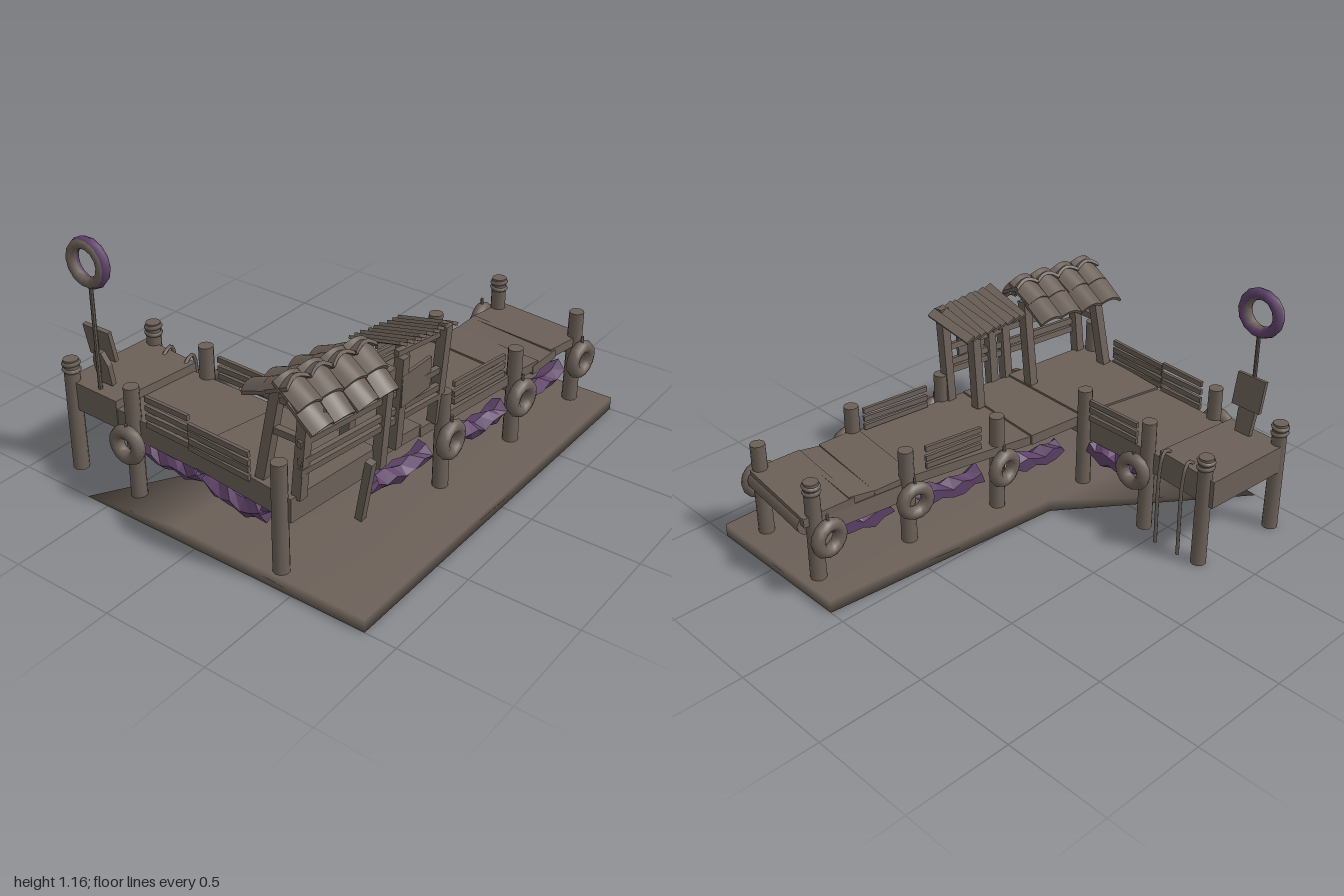
import * as THREE from 'three';
import { toCreasedNormals } from 'three/addons/utils/BufferGeometryUtils.js';

const wood = new THREE.MeshStandardMaterial({ color: 0x6b6058 });
wood.name = 'weathered wood';
const cloth = new THREE.MeshStandardMaterial({ color: 0x5e4268, side: THREE.DoubleSide });
cloth.name = 'purple cloth';
const UP = new THREE.Vector3(0, 1, 0);

export function createModel() {
  const model = new THREE.Group();
  model.name = 'lakesidePier';

  const add = (name, geo, mat = wood, parent = model) => {
    const m = new THREE.Mesh(geo, mat);
    m.name = name;
    parent.add(m);
    return m;
  };
  // Lay a mesh whose length runs along y between two points
  const span = (m, a, b) => {
    const d = b.clone().sub(a);
    m.position.copy(a).addScaledVector(d, 0.5);
    m.quaternion.setFromUnitVectors(UP, d.normalize());
    return m;
  };
  const V = (p) => new THREE.Vector3(...p);
  const pole = (name, p, q, r, sides = 10) => {
    const a = V(p), b = V(q);
    const g = toCreasedNormals(new THREE.CylinderGeometry(r * 0.93, r, a.distanceTo(b), sides), 0.9);
    return span(add(name, g), a, b);
  };
  const plank = (name, p, q, w, t) => {
    const a = V(p), b = V(q);
    return span(add(name, new THREE.BoxGeometry(w, a.distanceTo(b), t)), a, b);
  };

  // Shore slab, sloping down to a point at the front right
  const low = [[0.08, -1], [0.855, -1], [0.855, 1], [-0.62, 1], [-0.03, 0.2]];
  const high = [[0.08, -1], [0.855, -1], [0.855, 1], [-0.11, 1], [-0.03, 0.2]];
  const ground = new THREE.BufferGeometry();
  ground.setAttribute('position', new THREE.Float32BufferAttribute([
    ...low.flatMap(([x, z]) => [x, 0, z]), ...high.flatMap(([x, z]) => [x, 0.063, z])], 3));
  ground.setIndex([
    0, 1, 2, 0, 2, 4, 4, 2, 3,
    5, 7, 6, 5, 9, 7, 9, 8, 7,
    0, 5, 6, 0, 6, 1, 1, 6, 7, 1, 7, 2, 2, 7, 8, 2, 8, 3, 3, 8, 9, 3, 9, 4, 4, 9, 5, 4, 5, 0]);
  ground.computeVertexNormals();
  add('ground', ground);

  // Deck sections: outline in x, z, then bottom and top heights
  const deck = (pts, y0, y1) => {
    const shape = new THREE.Shape(pts.map(([x, z]) => new THREE.Vector2(x, -z)));
    const g = new THREE.ExtrudeGeometry(shape, { depth: y1 - y0, bevelEnabled: false });
    g.rotateX(-Math.PI / 2);
    g.translate(0, y0, 0);
    return add('deckSection', g);
  };
  deck([[-0.82, 0.39], [-0.49, 0.42], [-0.535, 0.87], [-0.845, 0.86]], 0.31, 0.445);
  deck([[-0.49, 0.43], [0.01, 0.44], [-0.075, 0.89], [-0.535, 0.865]], 0.30, 0.405);
  deck([[0.01, 0.44], [0.52, 0.46], [0.47, 0.95], [-0.075, 0.89]], 0.305, 0.415);
  deck([[0.04, 0.15], [0.56, 0.2], [0.52, 0.47], [0.01, 0.45]], 0.355, 0.405);
  deck([[0.18, -0.47], [0.645, -0.42], [0.565, 0.21], [0.05, 0.16]], 0.35, 0.395);
  // Overlapping, slightly tipped boards at the far end
  [[-0.51, 0.425, 0.375, -0.06, 0.2], [-0.655, 0.445, 0.37, 0.12, 0.17], [-0.835, 0.46, 0.375, -0.05, 0.25]]
    .forEach(([z, x, y, tip, depth]) => {
      const m = add('endBoard', new THREE.BoxGeometry(0.47, 0.045, depth));
      m.position.set(x, y, z);
      m.rotation.set(tip, -0.12, 0);
    });
  pole('endBeam', [0.27, 0.335, -0.95], [0.71, 0.335, -0.9], 0.05);
  pole('crossBeam', [0.18, 0.33, -0.47], [0.66, 0.33, -0.41], 0.035);
  plank('sideBeam', [0.2, 0.325, -0.5], [0.25, 0.325, -0.93], 0.04, 0.08);

  // Mooring posts: x, z, top height
  const posts = [[-0.765, 0.395, 0.55], [-0.815, 0.85, 0.55], [-0.415, 0.43, 0.56], [-0.43, 0.875, 0.56],
    [-0.02, 0.435, 0.56], [0.42, 0.955, 0.57], [0.25, -0.93, 0.55], [0.69, -0.89, 0.52],
    [0.19, -0.47, 0.53], [0.65, -0.405, 0.53], [0.115, 0, 0.54], [0.595, 0.09, 0.53]];
  posts.forEach(([x, z, h], i) => {
    pole('post', [x, 0, z], [x, h, z], 0.037);
    if (i < 2 || i === 6) {
      for (const y of [0.5, 0.53]) {
        const ring = add('postRope', new THREE.TorusGeometry(0.032, 0.011, 6, 12));
        ring.position.set(x, y, z);
        ring.rotation.set(Math.PI / 2, y > 0.51 ? 0.12 : -0.08, 0);
      }
    }
  });

  // Tyre fenders: x, y, z, turn about y
  const side = Math.PI / 2;
  [[-0.405, 0.32, 0.945, 0], [-0.39, 0.32, 0.36, 0], [0.17, 0.3, -0.915, side + 0.1],
    [0.745, 0.3, -0.86, side - 0.1], [0.13, 0.3, -0.475, side - 0.15], [0.7, 0.3, -0.395, side - 0.1],
    [0.05, 0.3, -0.015, side + 0.1], [0.635, 0.3, 0.08, side]].forEach(([x, y, z, turn]) => {
    const t = add('tyreFender', new THREE.TorusGeometry(0.063, 0.031, 8, 14));
    t.position.set(x, y, z);
    t.rotation.y = turn;
    pole('fenderRope', [x, y + 0.06, z], [x, 0.42, z], 0.008, 5);
  });

  // Railings of flat boards
  const railing = ([x0, z0], [x1, z1], heights) => heights.forEach((y, i) => {
    const d = (i % 2 ? 1 : -1) * 0.003;
    const m = add('railBoard', new THREE.BoxGeometry(Math.hypot(x1 - x0, z1 - z0), 0.026, 0.016));
    m.position.set((x0 + x1) / 2, y, (z0 + z1) / 2);
    m.rotation.set(0, -Math.atan2(z1 - z0, x1 - x0), d * 4);
  });
  railing([-0.34, 0.885], [-0.095, 0.895], [0.415, 0.455, 0.495, 0.54]);
  railing([-0.08, 0.91], [0.25, 0.93], [0.415, 0.45, 0.485, 0.52]);
  railing([-0.35, 0.425], [-0.06, 0.43], [0.43, 0.47, 0.51]);
  railing([0.62, -0.36], [0.575, -0.02], [0.37, 0.415, 0.455, 0.5]);
  railing([0.165, -0.38], [0.125, -0.09], [0.42, 0.46, 0.505]);

  // Sagging rolled cloth under the deck edges
  const swag = (p, q, sag, seed) => {
    const a = V(p), b = V(q);
    const mid = a.clone().lerp(b, 0.5);
    mid.y -= sag;
    const g = new THREE.TubeGeometry(new THREE.QuadraticBezierCurve3(a, mid, b), 6, 0.045, 5);
    const pos = g.attributes.position;
    for (let i = 0; i < pos.count; i++) {
      const k = Math.floor(i / 6), j = i % 6 % 5;
      pos.setY(i, pos.getY(i) + 0.014 * Math.sin(k * 2.3 + j * 1.9 + seed));
    }
    const flat = g.toNonIndexed();
    flat.computeVertexNormals();
    add('clothSwag', flat, cloth);
  };
  swag([-0.37, 0.27, 0.85], [-0.07, 0.265, 0.85], 0.03, 0);
  swag([-0.03, 0.27, 0.86], [0.29, 0.245, 0.88], 0.06, 1);
  swag([-0.32, 0.27, 0.455], [-0.06, 0.265, 0.455], 0.05, 2);
  swag([0.5, 0.25, 0.47], [0.55, 0.25, 0.14], 0.06, 3);
  swag([0.58, 0.25, -0.05], [0.62, 0.25, -0.35], 0.06, 4);
  swag([0.63, 0.25, -0.45], [0.65, 0.25, -0.81], 0.06, 5);
  swag([0.16, 0.25, -0.07], [0.22, 0.25, -0.38], 0.06, 6);
  swag([0.25, 0.25, -0.53], [0.3, 0.25, -0.82], 0.06, 7);
  swag([0.07, 0.25, 0.36], [0.14, 0.25, 0.08], 0.06, 8);

  // Shelter frame
  [[[0.28, 0.4, 0.89], [0.355, 0.82, 0.87]], [[0.47, 0.4, 0.9], [0.5, 0.84, 0.88]],
    [[0.38, 0.4, 0.48], [0.43, 0.84, 0.48]], [[0.53, 0.33, 0.46], [0.57, 0.8, 0.46]],
    [[0.41, 0.4, 0.16], [0.44, 0.8, 0.16]], [[0.57, 0.39, 0.12], [0.61, 0.86, 0.12]],
    [[0.55, 0.39, 0.38], [0.58, 0.82, 0.38]]]
    .forEach(([p, q]) => plank('shelterPost', p, q, 0.045, 0.045));
  for (const y of [0.53, 0.575, 0.655]) {
    plank('shelterRail', [0.49, y, 0.92], [0.595, y, 0.14], 0.022, 0.03);
  }
  plank('shelterCrossbar', [0.31, 0.65, 0.88], [0.49, 0.65, 0.88], 0.03, 0.03);
  plank('gableBar', [0.26, 0.79, 0.87], [0.57, 0.79, 0.87], 0.03, 0.03);
  plank('shelterPanel', [0.585, 0.595, 0.295], [0.59, 0.74, 0.295], 0.015, 0.205);
  plank('leaningBrace', [0.47, 0.07, 0.5], [0.55, 0.4, 0.54], 0.035, 0.035);

  // Gabled tile roof: two rows of arched tiles on each slope
  const roof = new THREE.Group();
  roof.name = 'tileRoof';
  roof.position.set(0.42, 0, 0.705);
  roof.rotation.y = -0.14;
  model.add(roof);
  const tileGeo = new THREE.BoxGeometry(0.155, 0.016, 0.12, 1, 1, 6);
  const tp = tileGeo.attributes.position;
  for (let i = 0; i < tp.count; i++) {
    tp.setY(i, tp.getY(i) + 0.03 * Math.cos(tp.getZ(i) * 25) - 0.015);
  }
  tileGeo.computeVertexNormals();
  for (let k = 0; k < 4; k++) {
    const z = (k - 1.5) * 0.12;
    [[-0.115, 0.82, 0.42], [0, 0.88, 0.46], [0.075, 0.875, -0.5], [0.145, 0.81, -0.7]]
      .forEach(([x, y, tilt], i) => {
        const t = add('roofTile', tileGeo, wood, roof);
        t.position.set(x, y, z);
        t.rotation.set((k % 2 ? 0.07 : -0.07), i % 2 ? 0.06 : -0.05, tilt);
      });
  }
  const ridge = add('ridgeBeam', new THREE.BoxGeometry(0.03, 0.03, 0.46), wood, roof);
  ridge.position.set(0.035, 0.87, 0);

  // Lean-to roof of loose slats
  for (let k = 0; k < 9; k++) {
    const t = k / 8, z = 0.385 - t * 0.31, x = 0.465 + t * 0.03;
    const m = add('roofSlat', new THREE.BoxGeometry(0.265, 0.014, 0.046));
    m.position.set(x, 0.852 - t * 0.03, z);
    m.rotation.set(-0.5, -0.12 + (k % 3 - 1) * 0.05, 0.18);
  }
  for (const x of [0.43, 0.595]) {
    const y = 0.81 + (x - 0.43) * 0.16;
    plank('slatSupport', [x - 0.03, y, 0.4], [x, y - 0.02, 0.08], 0.025, 0.025);
  }

  // Signpost with leaning boards and a cloth-wrapped life ring
  pole('signPole', [-0.665, 0.4, 0.83], [-0.665, 0.94, 0.83], 0.01, 8);
  plank('signBoard', [-0.665, 0.585, 0.79], [-0.665, 0.735, 0.82], 0.15, 0.02);
  const tag = new THREE.Shape([[-0.04, 0], [0.04, 0], [0.045, 0.11], [0.02, 0.17], [-0.02, 0.17], [-0.045, 0.11]]
    .map(([x, y]) => new THREE.Vector2(x, y)));
  const lower = add('lowerBoard', new THREE.ExtrudeGeometry(tag, { depth: 0.025, bevelEnabled: false }));
  lower.position.set(-0.663, 0.46, 0.775);
  lower.rotation.x = 0.19;
  const ring = add('lifeRing', new THREE.TorusGeometry(0.087, 0.025, 8, 14));
  ring.position.set(-0.668, 1.04, 0.838);
  const wrap = add('lifeRingCloth', new THREE.TorusGeometry(0.092, 0.025, 8, 14), cloth);
  wrap.position.set(-0.663, 1.041, 0.832);

  // Ladder rails with hooked tops
  for (const x of [-0.665, -0.535]) {
    const path = new THREE.CatmullRomCurve3([[x, 0, 0.37], [x, 0.38, 0.37], [x, 0.45, 0.385],
      [x + 0.01, 0.465, 0.42], [x + 0.01, 0.44, 0.45]].map(V));
    add('ladderRail', new THREE.TubeGeometry(path, 20, 0.009, 6));
  }
  return model;
}
